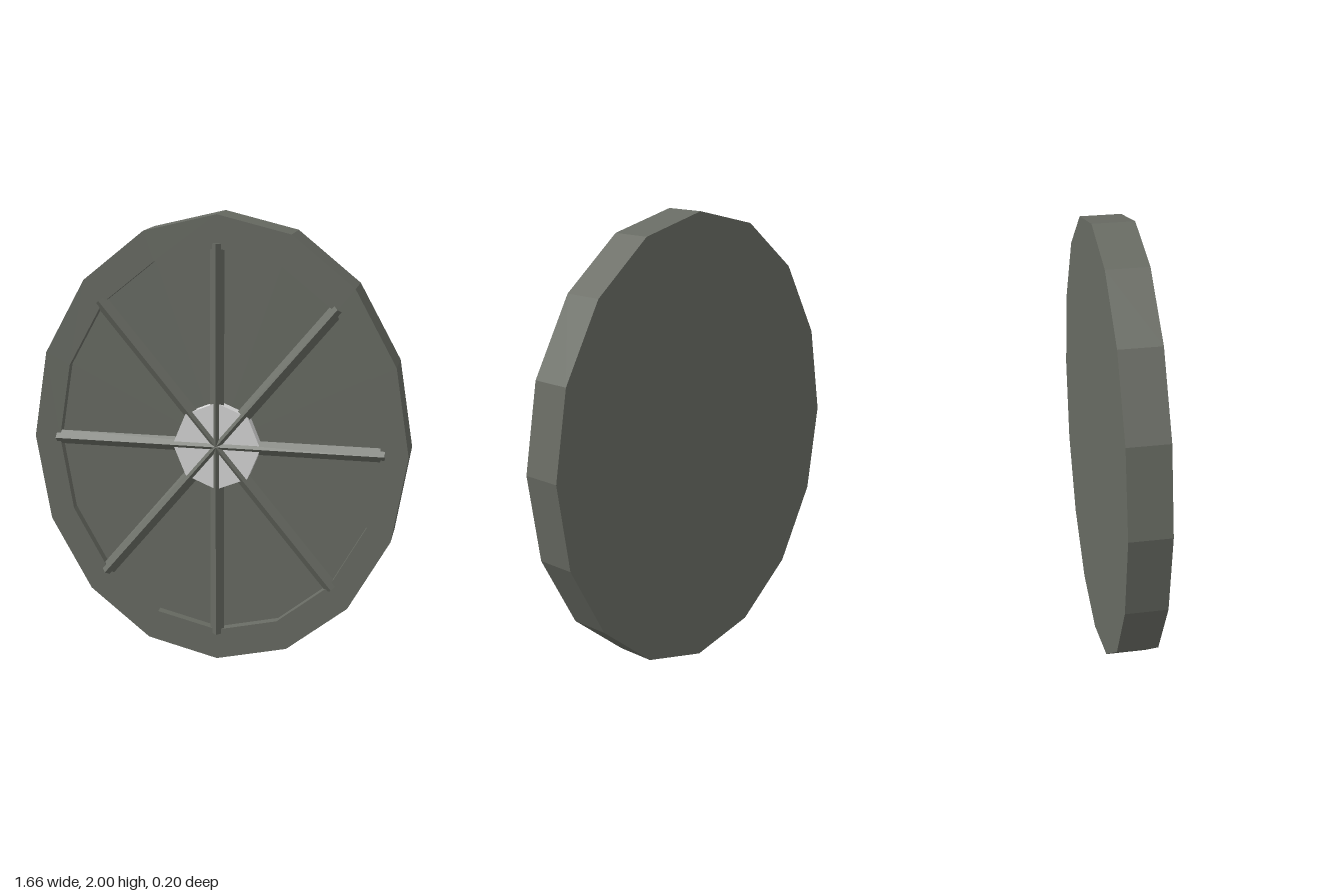
import * as THREE from 'three';

const RX = 0.83, RY = 1.0;   // outer half-width and half-height
const IX = 0.715, IY = 0.86; // recess half-width and half-height
const BACK = -0.1, FLOOR = 0.04, FRONT = 0.08;

// Points of a 16-sided ellipse
function ring(rx, ry) {
  return Array.from({ length: 16 }, (_, i) => {
    const t = i * Math.PI / 8;
    return new THREE.Vector2(rx * Math.cos(t), ry * Math.sin(t));
  });
}

export function createModel() {
  const model = new THREE.Group();
  const stone = new THREE.MeshStandardMaterial({ color: 0x686b63, flatShading: true });
  stone.name = 'darkGrey';
  const pale = new THREE.MeshStandardMaterial({ color: 0xd6d6d6, flatShading: true });
  pale.name = 'paleGrey';

  const add = (name, geometry, material, parent = model) => {
    const mesh = new THREE.Mesh(geometry, material);
    mesh.name = name;
    parent.add(mesh);
    return mesh;
  };

  // Body: one closed shell of elliptical rings, from back centre to recess floor
  const sections = [
    [0, 0, BACK], [RX, RY, BACK], [RX, RY, FRONT],
    [IX, IY, FRONT], [IX, IY, FLOOR], [0, 0, FLOOR],
  ].map(([rx, ry, z]) => ring(rx, ry).map((p) => [p.x, p.y, z]));
  const positions = [];
  for (let s = 0; s < sections.length - 1; s++) {
    for (let i = 0; i < 16; i++) {
      const j = (i + 1) % 16;
      const a = sections[s][i], b = sections[s][j];
      const c = sections[s + 1][j], d = sections[s + 1][i];
      if (s > 0) positions.push(...a, ...b, ...c);
      if (s < sections.length - 2) positions.push(...a, ...c, ...d);
      if (s === 0) continue;
    }
  }
  const shell = new THREE.BufferGeometry();
  shell.setAttribute('position', new THREE.Float32BufferAttribute(positions, 3));
  shell.computeVertexNormals();
  add('body', shell, stone).position.y = 1;

  // Spokes: four diamond-section bars crossing the whole face
  const spokes = new THREE.Group();
  spokes.name = 'spokes';
  spokes.position.set(0, 1, 0.069);
  for (let i = 0; i < 4; i++) {
    const t = i * Math.PI / 4;
    const x = 0.73 * Math.cos(t), y = 0.878 * Math.sin(t);
    const bar = add('spoke', new THREE.CylinderGeometry(0.031, 0.031, 2 * Math.hypot(x, y), 4), stone, spokes);
    bar.rotation.z = Math.atan2(y, x) - Math.PI / 2;
  }
  model.add(spokes);

  // Hub: flat octagonal boss
  const hub = add('hub', new THREE.CylinderGeometry(0.195, 0.195, 0.047, 8), pale);
  hub.rotation.x = Math.PI / 2;
  hub.position.set(0, 1, 0.0635);

  return model;
}
